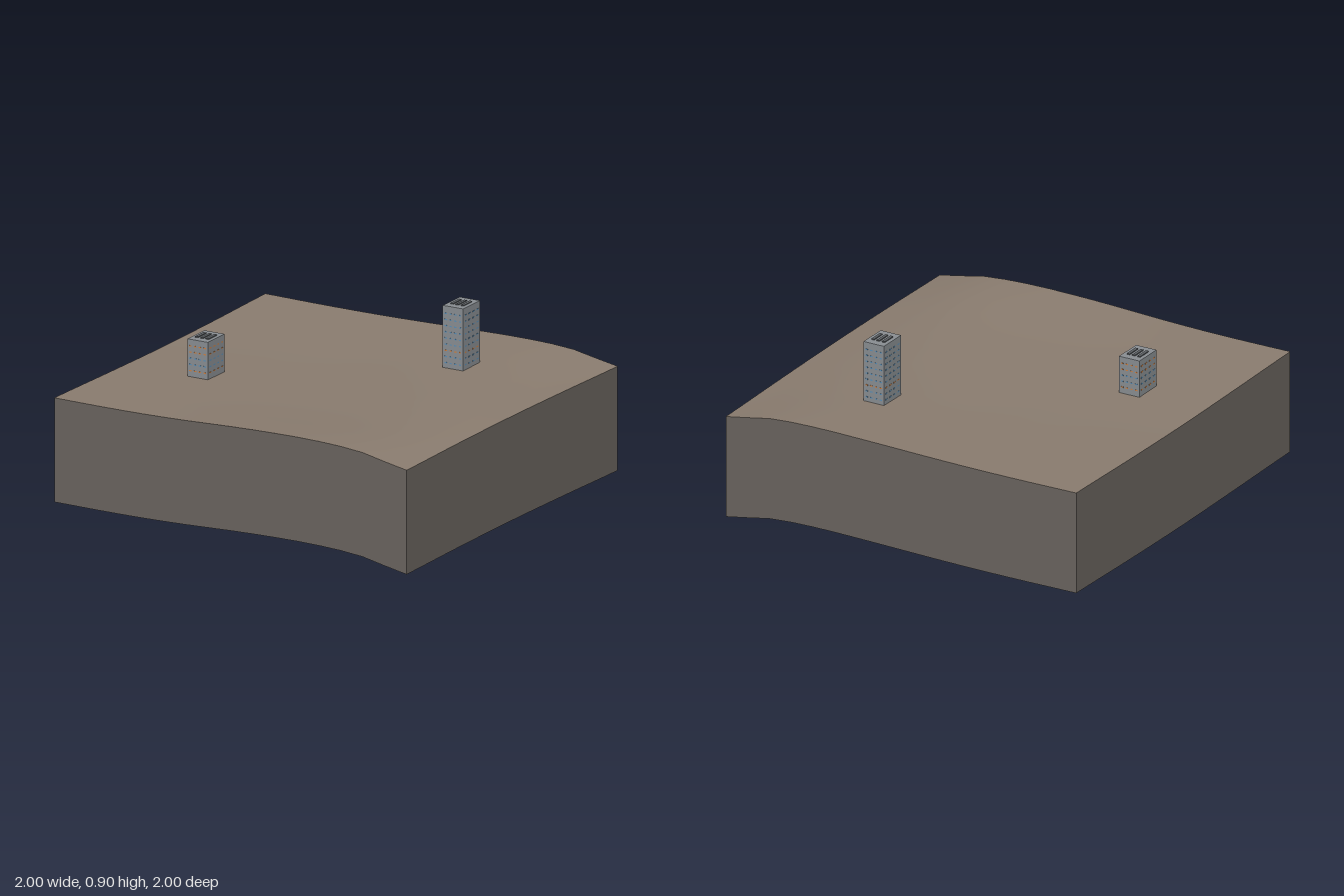
import * as THREE from 'three';

const mat = (name, color, side = THREE.FrontSide) => {
  const m = new THREE.MeshStandardMaterial({ color, side });
  m.name = name;
  return m;
};

// Ground heights: rows run back to front, columns left to right across x
const HEIGHTS = [
  [0.58, 0.577, 0.576, 0.578, 0.583, 0.588, 0.59, 0.578, 0.532],
  [0.573, 0.572, 0.571, 0.572, 0.574, 0.578, 0.579, 0.57, 0.541],
  [0.571, 0.571, 0.571, 0.571, 0.573, 0.576, 0.577, 0.571, 0.547],
  [0.578, 0.577, 0.576, 0.577, 0.579, 0.581, 0.583, 0.575, 0.546],
  [0.587, 0.585, 0.586, 0.592, 0.602, 0.608, 0.607, 0.59, 0.54],
];
const DEPTH = 0.532;
const SEG = 16;

// Smooth interpolation through evenly spaced values, t in 0..1
function smooth(values, t) {
  const n = values.length - 1;
  const i = Math.min(Math.floor(t * n), n - 1);
  const f = t * n - i;
  const a = values[Math.max(i - 1, 0)], b = values[i];
  const c = values[i + 1], d = values[Math.min(i + 2, n)];
  return b + 0.5 * f * (c - a + f * (2 * a - 5 * b + 4 * c - d + f * (3 * (b - c) + d - a)));
}
const heightAt = (x, z) => smooth(HEIGHTS.map((row) => smooth(row, (x + 1) / 2)), (z + 1) / 2);

// One vertical side of the ground block, following the terrain edge
function skirtGeometry(from, to) {
  const pos = [], index = [];
  for (let i = 0; i <= SEG; i++) {
    const t = i / SEG;
    const x = from[0] + (to[0] - from[0]) * t;
    const z = from[1] + (to[1] - from[1]) * t;
    const y = heightAt(x, z);
    pos.push(x, y, z, x, y - DEPTH, z);
    if (i < SEG) {
      const k = i * 2;
      index.push(k, k + 1, k + 2, k + 1, k + 3, k + 2);
    }
  }
  const g = new THREE.BufferGeometry();
  g.setAttribute('position', new THREE.Float32BufferAttribute(pos, 3));
  g.setIndex(index);
  g.computeVertexNormals();
  return g;
}

export function createModel() {
  const model = new THREE.Group();
  model.name = 'terrainBlock';
  const earth = mat('earth', 0x8b7d70, THREE.DoubleSide);
  const rock = mat('rock', 0x6a645f, THREE.DoubleSide);
  const concrete = mat('concrete', 0x8a8f93);
  const vent = mat('roofVent', 0x5c6064);
  const orange = mat('orangeLight', 0xd08040);
  const blue = mat('blueGlass', 0x5a8fb8);

  const add = (parent, name, geometry, material, x = 0, y = 0, z = 0) => {
    const m = new THREE.Mesh(geometry, material);
    m.name = name;
    m.position.set(x, y, z);
    parent.add(m);
    return m;
  };

  // Rolling ground surface
  const ground = new THREE.PlaneGeometry(2, 2, SEG, SEG).rotateX(-Math.PI / 2);
  const p = ground.attributes.position;
  for (let i = 0; i < p.count; i++) p.setY(i, heightAt(p.getX(i), p.getZ(i)));
  ground.computeVertexNormals();
  add(model, 'ground', ground, earth);

  // Four sides of the block, open underneath
  const corners = [[-1, 1], [1, 1], [1, -1], [-1, -1]];
  ['frontSkirt', 'leftSkirt', 'backSkirt', 'rightSkirt'].forEach((name, i) =>
    add(model, name, skirtGeometry(corners[i], corners[(i + 1) % 4]), rock));

  // Tower with roof vents and rows of small windows on each side
  const W = 0.116, D = 0.16, BASE = 0.568, ROW = 0.0315;
  function tower(name, x, z, top, orangeRows) {
    const g = new THREE.Group();
    g.name = name;
    g.position.set(x, 0, z);
    model.add(g);
    add(g, 'walls', new THREE.BoxGeometry(W, top - BASE, D), concrete, 0, (top + BASE) / 2, 0);
    for (const vx of [-0.03, 0, 0.03])
      add(g, 'roofVent', new THREE.BoxGeometry(0.016, 0.006, 0.08), vent, vx, top + 0.002, 0);

    const rows = Math.floor((top - 0.605) / ROW);
    for (let r = 0; r < rows; r++) {
      const y = 0.605 + r * ROW;
      const material = orangeRows.includes(r) ? orange : blue;
      for (let i = -1.5; i <= 1.5; i++) {
        const acrossX = new THREE.BoxGeometry(0.013, 0.006, D + 0.002);
        const acrossZ = new THREE.BoxGeometry(W + 0.002, 0.006, 0.016);
        add(g, 'windowFrontBack', acrossX, material, i * 0.027, y, 0);
        add(g, 'windowSides', acrossZ, material, 0, y, i * 0.037);
      }
    }
  }
  tower('shortTower', -0.588, 0.25, 0.765, [0, 3, 4]);
  tower('tallTower', 0.412, -0.5, 0.895, [2]);

  return model;
}
